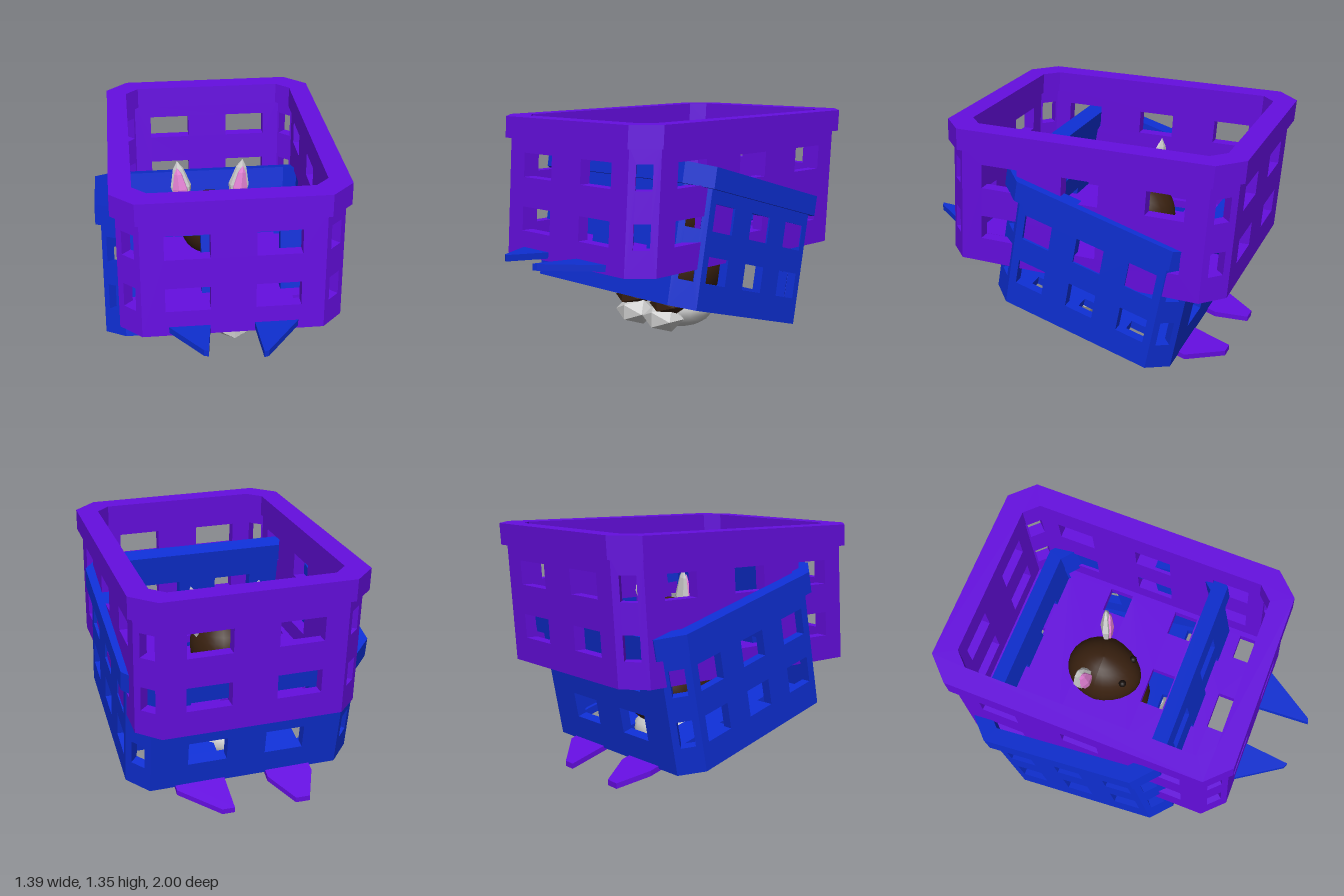
import * as THREE from 'three';

const mat = (color, flat = true) => new THREE.MeshStandardMaterial({ color, flatShading: flat });
const PURPLE = mat(0x650ee0), BLUE = mat(0x0e2fd4);
const BROWN = mat(0x38200f, false), BROWN_FLAT = mat(0x38200f), PINK = mat(0xe884d8);
const GREY = mat(0xcccccc), GREY_SMOOTH = mat(0xcccccc, false), BLACK = mat(0x140c08, false);

function add(parent, name, geo, material, x = 0, y = 0, z = 0) {
  const m = new THREE.Mesh(geo, material);
  m.name = name;
  m.position.set(x, y, z);
  parent.add(m);
  return m;
}

// Rectangle with chamfered corners
function octagon(a, b, c, Type = THREE.Shape) {
  const p = [[a - c, -b], [a, c - b], [a, b - c], [a - c, b], [c - a, b], [-a, b - c], [-a, c - b], [c - a, -b]];
  return new Type(p.map(([x, y]) => new THREE.Vector2(x, y)));
}

function cutRect(shape, cx, cy, w, h) {
  const x = w / 2, y = h / 2;
  shape.holes.push(new THREE.Path([[-x, -y], [-x, y], [x, y], [x, -y]]
    .map(([u, v]) => new THREE.Vector2(cx + u, cy + v))));
}

const extrude = (shape, depth) => new THREE.ExtrudeGeometry(shape, { depth, bevelEnabled: false });

// Wall panel with window rows; its inner ends are mitred
function panel(w, h, t, cols, winW, winH, rows) {
  const s = new THREE.Shape([[-w / 2, 0], [w / 2, 0], [w / 2, h], [-w / 2, h]].map(p => new THREE.Vector2(...p)));
  for (const x of cols) for (const y of rows) cutRect(s, x, y, winW, winH);
  const g = extrude(s, t).translate(0, 0, -t);
  const p = g.attributes.position;
  for (let i = 0; i < p.count; i++) {
    const x = p.getX(i);
    if (Math.abs(x) > w / 2 - 1e-4 && p.getZ(i) < -t / 2) p.setX(i, x - Math.sign(x) * t * Math.tan(Math.PI / 8));
  }
  g.computeVertexNormals();
  return g;
}

// Basket: eight pierced walls, a pierced floor and a thick rim, placed by a skewed frame
function basket(name, o) {
  const group = new THREE.Group();
  group.name = name;
  const { a, b, c, t, h, rimH, rimOut, rimIn, material } = o;
  const put = (part, g) => add(group, part, g.applyMatrix4(o.frame), material);
  const wallH = h - rimH + 0.01;
  for (const s of [0, 1]) {
    const turn = s * Math.PI;
    put(s ? 'backWall' : 'frontWall',
      panel(2 * (a - c), wallH, t, o.endCols, o.endW, o.winH, o.rows).translate(0, 0, b).rotateY(turn));
    put(s ? 'rightWall' : 'leftWall',
      panel(2 * (b - c), wallH, t, o.sideCols, o.sideW, o.winH, o.rows).translate(0, 0, a).rotateY(turn + Math.PI / 2));
  }
  for (const sx of [-1, 1]) for (const sz of [-1, 1])
    put('cornerWall', panel(c * Math.SQRT2, wallH, t, [0], c * 0.75, o.winH, o.rows)
      .rotateY(Math.atan2(sx, sz)).translate(sx * (a - c / 2), 0, sz * (b - c / 2)));

  const floor = octagon(a - 0.01, b - 0.01, c);
  for (const [x, w] of o.floorCols) for (const z of o.floorRows) cutRect(floor, x, z, w, 0.14);
  put('floor', extrude(floor, 0.045).rotateX(-Math.PI / 2));

  const rim = octagon(a + rimOut, b + rimOut, c + 0.01);
  rim.holes.push(octagon(a - rimIn, b - rimIn, c * 0.65, THREE.Path));
  put('rim', extrude(rim, rimH).rotateX(-Math.PI / 2).translate(0, h - rimH, 0));
  return group;
}

const frame = (X, Y, Z, P) => new THREE.Matrix4()
  .makeBasis(new THREE.Vector3(...X), new THREE.Vector3(...Y), new THREE.Vector3(...Z)).setPosition(...P);

// Flat pointed tab drawn in plan (x, z), rising by slope along z
function tab(parent, name, pts, y, thick, slope, z0, material) {
  const g = extrude(new THREE.Shape(pts.map(([x, z]) => new THREE.Vector2(x, -z))), thick).rotateX(-Math.PI / 2);
  const p = g.attributes.position;
  for (let i = 0; i < p.count; i++) p.setY(i, p.getY(i) + y + slope * (p.getZ(i) - z0));
  g.computeVertexNormals();
  add(parent, name, g, material);
}

function ellipsoid(parent, name, c, r, material, seg = 20) {
  return add(parent, name, new THREE.SphereGeometry(1, seg, Math.round(seg * 0.7)).scale(...r), material, ...c);
}

// Seated animal with upright ears and lumpy feet
function animal() {
  const g = new THREE.Group();
  g.name = 'animal';
  ellipsoid(g, 'body', [0, 0.41, -0.22], [0.25, 0.24, 0.28], BROWN);
  ellipsoid(g, 'belly', [0, 0.165, -0.23], [0.2, 0.13, 0.21], GREY_SMOOTH, 14);
  const head = new THREE.SphereGeometry(1, 24, 16);
  const p = head.attributes.position;
  for (let i = 0; i < p.count; i++) { // narrow towards the muzzle
    const k = 1 - 0.15 * Math.max(0, p.getZ(i));
    p.setXYZ(i, p.getX(i) * 0.185 * k, p.getY(i) * 0.2 * k, p.getZ(i) * 0.22);
  }
  head.computeVertexNormals();
  add(g, 'head', head, BROWN, 0, 0.72, -0.21);
  const leaf = [[0, 0], [0.045, 0.07], [0.068, 0.17], [0.035, 0.28], [0, 0.33]].map(q => new THREE.Vector2(...q));
  for (const s of [-1, 1]) {
    const ear = new THREE.Group();
    ear.name = s < 0 ? 'rightEar' : 'leftEar';
    ear.position.set(s * 0.15, 0.78, -0.26);
    ear.rotation.set(0, s * 0.3, -s * 0.14);
    g.add(ear);
    add(ear, 'earBack', new THREE.LatheGeometry(leaf, 6).scale(1, 1, 0.5), GREY);
    add(ear, 'earInside', new THREE.LatheGeometry(leaf, 6).scale(0.75, 0.85, 0.35), PINK, 0, 0.015, 0.02);
    ellipsoid(g, 'eye', [s * 0.08, 0.83, -0.065], [0.022, 0.022, 0.022], BLACK, 10);
    add(g, 'foot', new THREE.IcosahedronGeometry(1, 0).scale(0.135, 0.085, 0.11), GREY, s * 0.12, 0.15, 0.03);
    add(g, 'footTop', new THREE.IcosahedronGeometry(1, 0).scale(0.12, 0.055, 0.12), BROWN_FLAT, s * 0.15, 0.235, 0.01);
  }
  return g;
}

export function createModel() {
  const model = new THREE.Group();
  model.name = 'basketsWithAnimal';

  // Upper basket, nearly level
  model.add(basket('upperBasket', {
    a: 0.6, b: 0.81, c: 0.115, t: 0.065, h: 0.775, rimH: 0.12, rimOut: 0.028, rimIn: 0.09, material: PURPLE,
    endCols: [-0.24, 0.24], endW: 0.24, sideCols: [-0.47, 0, 0.47], sideW: 0.21, winH: 0.135, rows: [0.21, 0.51],
    floorCols: [[-0.43, 0.15], [0, 0.22], [0.43, 0.15]], floorRows: [-0.63, -0.21, 0.21, 0.63],
    frame: frame([1, 0, -0.03], [0, 1, -0.06], [0.015, -0.012, 1], [0.04, 0.56, -0.1]),
  }));

  // Lower basket, tipped backwards
  model.add(basket('lowerBasket', {
    a: 0.65, b: 0.54, c: 0.11, t: 0.055, h: 0.76, rimH: 0.115, rimOut: 0.03, rimIn: 0.06, material: BLUE,
    endCols: [-0.22, 0.22], endW: 0.22, sideCols: [-0.307, 0, 0.307], sideW: 0.16, winH: 0.145, rows: [0.22, 0.5],
    floorCols: [[-0.47, 0.2], [0, 0.22], [0.47, 0.2]], floorRows: [-0.3, 0, 0.3],
    frame: frame([1, 0, -0.027], [0, 0.984, -0.177], [0.03, 0.266, 0.963], [0, 0.225, -0.095]),
  }));

  // Front tabs under the upper basket
  for (const pts of [
    [[-0.31, 0.6], [-0.07, 0.6], [-0.07, 0.69], [-0.1, 0.97], [-0.125, 0.96], [-0.31, 0.69]],
    [[0.17, 0.6], [0.41, 0.6], [0.41, 0.68], [0.205, 0.99], [0.18, 1], [0.165, 0.68]],
  ]) tab(model, 'frontTab', pts, 0.565, 0.035, 0.06, 0.7, BLUE);

  // Rear tabs under the lower basket
  for (const pts of [
    [[-0.4, -0.58], [-0.4, -0.66], [-0.33, -0.83], [-0.25, -0.83], [-0.14, -0.66], [-0.14, -0.58]],
    [[0.1, -0.58], [0.1, -0.83], [0.17, -0.83], [0.38, -0.66], [0.38, -0.58]],
  ]) tab(model, 'rearTab', pts, 0, 0.03, 0.3, -0.83, PURPLE);

  model.add(animal());
  return model;
}
